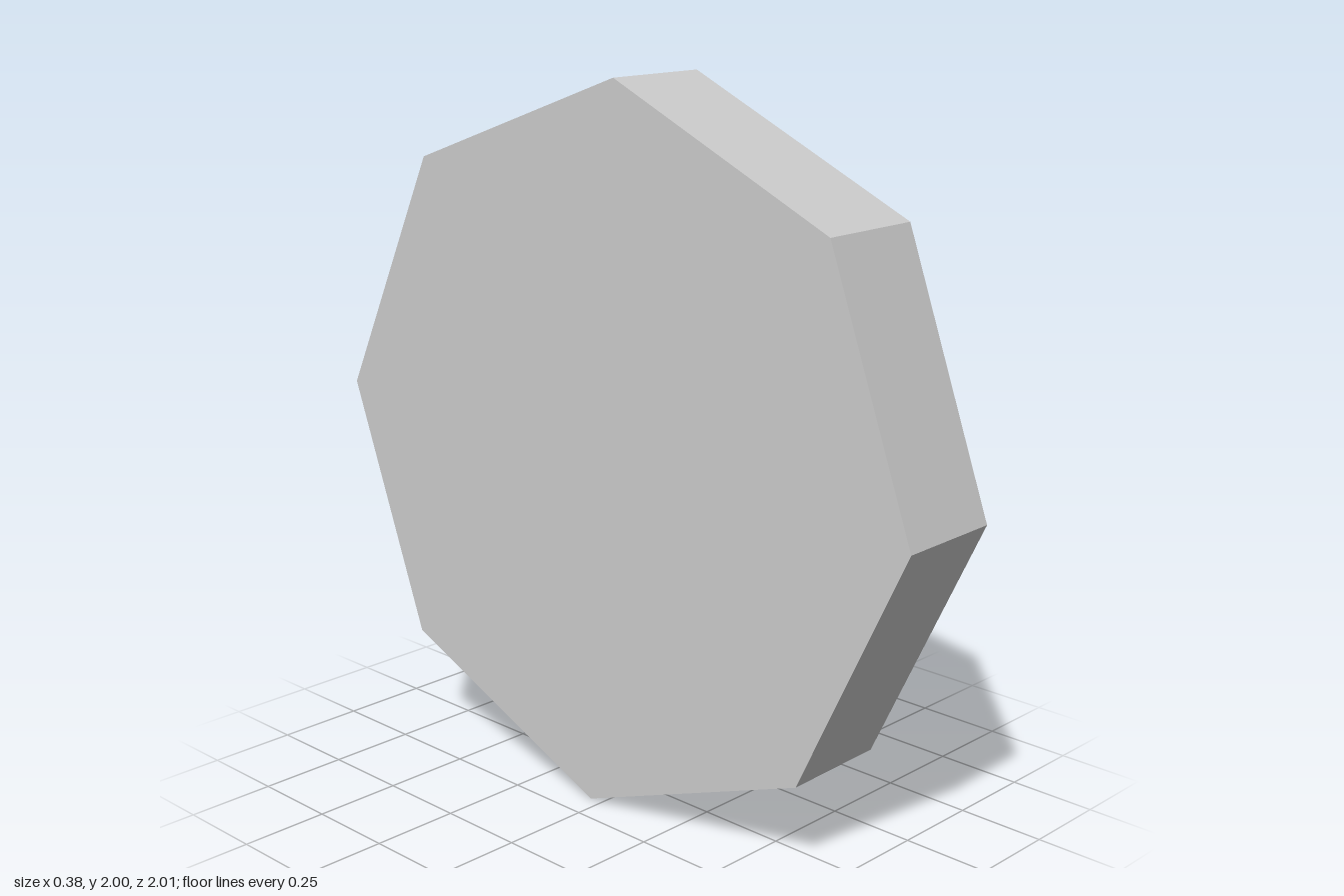
import * as THREE from 'three';

const material = new THREE.MeshStandardMaterial({ color: 0xcccccc, flatShading: true });

function part(name, geometry, parent) {
  const mesh = new THREE.Mesh(geometry, material);
  mesh.name = name;
  parent.add(mesh);
  return mesh;
}

export function createModel() {
  const model = new THREE.Group();
  model.name = 'dialGauge';

  // The dial is built facing +z, then turned to face +x with a slight tilt
  const dial = new THREE.Group();
  dial.name = 'dial';
  dial.rotation.set(0, Math.PI / 2 + 0.032, -0.008, 'ZYX');
  dial.position.y = 1;
  model.add(dial);

  const front = 0.16, floor = -0.01, outer = 1, inner = 0.893;

  // Octagonal case with raised rim and recessed face
  const profile = [
    [0, -front], [outer, -front], [outer, front],
    [inner, front], [inner, floor], [0, floor],
  ].map(([r, h]) => new THREE.Vector2(r, h));
  const caseGeometry = new THREE.LatheGeometry(profile, 8);
  caseGeometry.rotateX(Math.PI / 2).rotateZ(0.04);
  part('case', caseGeometry, dial);

  // Pointer assembly, placed slightly off centre
  const pointer = new THREE.Group();
  pointer.name = 'pointer';
  pointer.position.set(-0.02, -0.02, 0);
  dial.add(pointer);

  // Tapered needle with a rounded foot around the hub
  const outline = new THREE.Shape();
  outline.moveTo(0.078, 0.1);
  outline.lineTo(0.034, 0.65);
  outline.lineTo(0.008, 0.747);
  outline.lineTo(-0.008, 0.747);
  outline.lineTo(-0.032, 0.655);
  outline.lineTo(-0.078, 0.1);
  for (let i = 0; i <= 4; i++) {
    const a = Math.PI + (i * Math.PI) / 4;
    outline.lineTo(0.11 * Math.cos(a), 0.11 * Math.sin(a));
  }
  outline.closePath();
  const needle = part('needle',
    new THREE.ExtrudeGeometry(outline, { depth: 0.05, bevelEnabled: false }), pointer);
  needle.position.z = floor;

  // Faceted hub
  const hub = part('hub', new THREE.SphereGeometry(0.137, 8, 4).rotateX(Math.PI / 2), pointer);
  hub.position.z = 0.04;

  return model;
}
